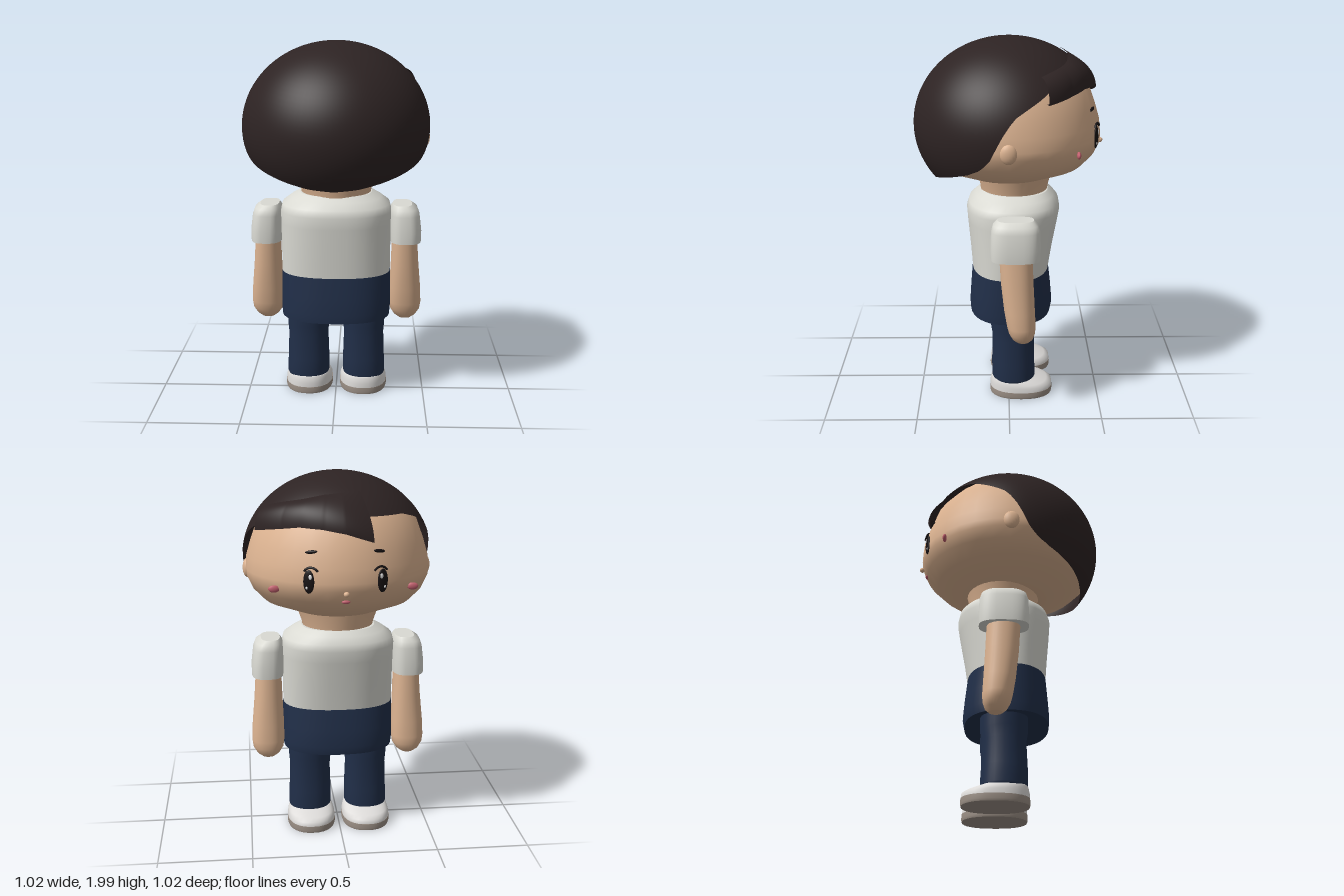
import * as THREE from 'three';
import { ParametricGeometry } from 'three/addons/geometries/ParametricGeometry.js';

const paint = (name, color, side = THREE.FrontSide) => {
  const m = new THREE.MeshStandardMaterial({ color, side });
  m.name = name;
  return m;
};

// Linear interpolation in a table of [key, value] rows
function sample(table, x) {
  let i = 1;
  while (i < table.length - 1 && x > table[i][0]) i++;
  const [a, p] = table[i - 1], [b, q] = table[i];
  return p + (q - p) * THREE.MathUtils.clamp((x - a) / (b - a), 0, 1);
}

// Smooth skin over rings [y, centreX, centreZ, radiusX, radiusZ], listed upward, with flat caps
function loft(rings, power = 2, n = 32) {
  const pos = [], idx = [];
  const ring = ([y, cx, cz, rx, rz]) => {
    const start = pos.length / 3;
    for (let j = 0; j < n; j++) {
      const a = (j / n) * Math.PI * 2, c = Math.cos(a), s = Math.sin(a);
      const f = (v) => Math.sign(v) * Math.pow(Math.abs(v), 2 / power);
      pos.push(cx + rx * f(c), y, cz + rz * f(s));
    }
    return start;
  };
  const starts = rings.map(ring);
  for (let i = 0; i < starts.length - 1; i++) {
    for (let j = 0; j < n; j++) {
      const k = (j + 1) % n, a = starts[i] + j, b = starts[i] + k, c = starts[i + 1] + j, d = starts[i + 1] + k;
      idx.push(a, c, b, b, c, d);
    }
  }
  for (const [r, top] of [[rings[0], false], [rings[rings.length - 1], true]]) {
    const s = ring(r), centre = pos.length / 3;
    pos.push(r[1], r[0], r[2]);
    for (let j = 0; j < n; j++) {
      const k = (j + 1) % n;
      if (top) idx.push(centre, s + k, s + j);
      else idx.push(centre, s + j, s + k);
    }
  }
  const g = new THREE.BufferGeometry();
  g.setAttribute('position', new THREE.Float32BufferAttribute(pos, 3));
  g.setIndex(idx);
  g.computeVertexNormals();
  return g;
}

export function createModel() {
  const model = new THREE.Group();
  const skin = paint('skin', 0xdcb391);
  const hair = paint('dark hair', 0x2d2323, THREE.DoubleSide);
  const cloth = paint('shirt white', 0xdadad3);
  const navy = paint('navy', 0x212f49);
  const leather = paint('shoe white', 0xdedcda);
  const rubber = paint('sole grey', 0x9c9086);
  const black = paint('eye black', 0x171213);
  const white = paint('highlight white', 0xf0f0f0);
  const pink = paint('pink', 0xc2606e);

  const add = (name, geometry, material, parent = model) => {
    const m = new THREE.Mesh(geometry, material);
    m.name = name;
    parent.add(m);
    return m;
  };
  const ball = (name, material, x, y, z, rx, ry, rz, parent = model) => {
    const m = add(name, new THREE.SphereGeometry(1, 20, 12), material, parent);
    m.position.set(x, y, z);
    m.scale.set(rx, ry, rz);
    return m;
  };

  // Head and neck
  const headProfile = [[1.24, 0.19], [1.25, 0.23], [1.315, 0.4], [1.38, 0.463], [1.44, 0.491], [1.48, 0.495],
    [1.55, 0.488], [1.635, 0.463], [1.74, 0.425], [1.83, 0.35], [1.9, 0.25], [1.94, 0.05]];
  add('head', loft(headProfile.map(([y, r]) => [y, 0, 0, r, r])), skin);
  add('neck', loft([[1.13, 0, -0.03, 0.19, 0.18], [1.18, 0, -0.03, 0.195, 0.185], [1.265, 0, -0.03, 0.225, 0.205]]), skin);

  // Hair cap: an ellipsoid cut along a hairline that depends on the angle from the back
  const hairline = [[0, 1.25], [18, 1.262], [35, 1.29], [50, 1.32], [63, 1.35], [72, 1.385], [78, 1.43], [82, 1.5], [88, 1.6],
    [94, 1.66], [102, 1.7], [118, 1.77], [133, 1.797], [180, 1.8]];
  add('hairCap', new ParametricGeometry((u, v, p) => {
    const deg = (1 - u) * 360, phi = THREE.MathUtils.degToRad(deg);
    const edge = Math.acos((sample(hairline, Math.min(deg, 360 - deg)) - 1.53) / 0.46);
    const t = edge * (0.002 + 0.998 * v), r = 0.51 * Math.sin(t);
    p.set(r * Math.sin(phi), 1.53 + 0.46 * Math.cos(t), r * Math.cos(phi));
  }, 96, 32), hair);

  // Swept fringe: a raised flap over the brow, curled under at its lower edge
  const upperR = [[-17, 0.29], [0, 0.305], [18, 0.32], [35, 0.348], [54, 0.372], [66, 0.39]];
  const lowerR = [[-17, 0.48], [0, 0.466], [13, 0.452], [30, 0.447], [45, 0.452], [58, 0.472], [66, 0.485]];
  const lowerY = [[-17, 1.68], [0, 1.725], [15, 1.745], [30, 1.75], [48, 1.73], [66, 1.71]];
  add('fringe', new ParametricGeometry((u, v, p) => {
    const deg = -17 + 83 * u, a = THREE.MathUtils.degToRad(deg);
    const r0 = sample(upperR, deg), r2 = sample(lowerR, deg), y2 = sample(lowerY, deg);
    const y0 = 1.54 + 0.46 * Math.sqrt(1 - (r0 / 0.51) ** 2);
    const t = Math.min(1, v / 0.92), s = 1 - t;
    let r = s * s * r0 + 2 * s * t * (r2 - 0.005) + t * t * r2;
    const y = s * s * y0 + 2 * s * t * (y2 + 0.11) + t * t * y2;
    if (v > 0.92) r -= 0.03 * (v - 0.92) / 0.08;
    p.set(r * Math.sin(a), y, -r * Math.cos(a));
  }, 40, 25), hair);

  // Face, looking toward -z
  ball('nose', skin, 0, 1.43, -0.495, 0.015, 0.014, 0.015);
  ball('mouth', pink, 0, 1.385, -0.465, 0.022, 0.01, 0.01);
  const onFace = (name, x, y, r) => {
    const g = new THREE.Group(), psi = Math.asin(x / r);
    g.name = name;
    g.position.set(x, y, -r * Math.cos(psi));
    g.rotation.y = Math.PI - psi;
    model.add(g);
    return g;
  };

  for (const s of [-1, 1]) {
    const side = s > 0 ? 'left' : 'right';
    const eye = onFace(side + 'Eye', s * 0.185, 1.49, 0.492);
    ball('iris', black, 0, 0, 0, 0.029, 0.06, 0.009, eye);
    ball('upperHighlight', white, s * 0.01, 0.025, 0.007, 0.009, 0.013, 0.004, eye);
    ball('lowerHighlight', white, -s * 0.009, -0.03, 0.006, 0.006, 0.008, 0.004, eye);
    const lash = add('lash', new THREE.TorusGeometry(0.042, 0.006, 6, 16, 2), black, eye);
    lash.position.set(s * 0.012, 0.03, 0);
    lash.rotation.z = Math.PI / 2 - 1;
    const brow = onFace(side + 'Brow', s * 0.17, 1.635, 0.464);
    ball('browStroke', black, 0, 0, 0, 0.032, 0.009, 0.008, brow).rotation.z = s * 0.12;
    ball(side + 'Cheek', pink, s * 0.355, 1.435, -0.355, 0.029, 0.019, 0.011);
    ball(side + 'Ear', skin, s * 0.485, 1.475, 0.005, 0.025, 0.052, 0.044);

    // Sleeve and arm
    add(side + 'Sleeve', loft([[0.888, s * 0.389, -0.033, 0.086, 0.13], [0.95, s * 0.388, -0.033, 0.088, 0.132],
      [1.04, s * 0.383, -0.033, 0.082, 0.128], [1.075, s * 0.378, -0.033, 0.074, 0.118],
      [1.097, s * 0.37, -0.033, 0.052, 0.095]], 2.8), cloth);
    add(side + 'Arm', loft([[0.415, s * 0.393, -0.073, 0.035, 0.035], [0.435, s * 0.393, -0.072, 0.062, 0.056],
      [0.47, s * 0.393, -0.068, 0.084, 0.071], [0.51, s * 0.393, -0.064, 0.09, 0.077], [0.6, s * 0.391, -0.054, 0.088, 0.082],
      [0.75, s * 0.387, -0.042, 0.078, 0.086], [0.95, s * 0.383, -0.032, 0.068, 0.088]], 2.2), skin);

    // Trouser leg and shoe
    add(side + 'Leg', loft([[0.093, s * 0.16, -0.027, 0.115, 0.115], [0.105, s * 0.16, -0.027, 0.12, 0.121],
      [0.2, s * 0.158, -0.024, 0.118, 0.119], [0.34, s * 0.158, -0.026, 0.113, 0.115],
      [0.4, s * 0.158, -0.026, 0.118, 0.125], [0.52, s * 0.158, -0.026, 0.122, 0.125]], 2.2), navy);
    add(side + 'Sole', loft([[0, s * 0.156, -0.069, 0.132, 0.173], [0.012, s * 0.156, -0.069, 0.136, 0.176],
      [0.038, s * 0.156, -0.069, 0.135, 0.175]], 2.3), rubber);
    add(side + 'Shoe', loft([[0.036, s * 0.156, -0.069, 0.134, 0.174], [0.062, s * 0.156, -0.068, 0.132, 0.173],
      [0.077, s * 0.156, -0.056, 0.127, 0.158], [0.091, s * 0.156, -0.037, 0.12, 0.136],
      [0.1, s * 0.156, -0.027, 0.112, 0.122]], 2.3), leather);
  }

  // Shirt and trouser top
  add('shirt', loft([[0.72, 0, -0.01, 0.303, 0.211], [0.85, 0, -0.015, 0.304, 0.226], [1.0, 0, -0.022, 0.306, 0.247],
    [1.065, 0, -0.025, 0.308, 0.255], [1.105, 0, -0.028, 0.298, 0.245], [1.14, 0, -0.033, 0.25, 0.213],
    [1.167, 0, -0.036, 0.2, 0.18]], 2.4, 40), cloth);
  add('trouserTop', loft([[0.465, 0, -0.01, 0.303, 0.225], [0.51, 0, -0.013, 0.307, 0.231],
    [0.6, 0, -0.012, 0.306, 0.224], [0.722, 0, -0.01, 0.304, 0.212]], 2.4, 40), navy);

  return model;
}
